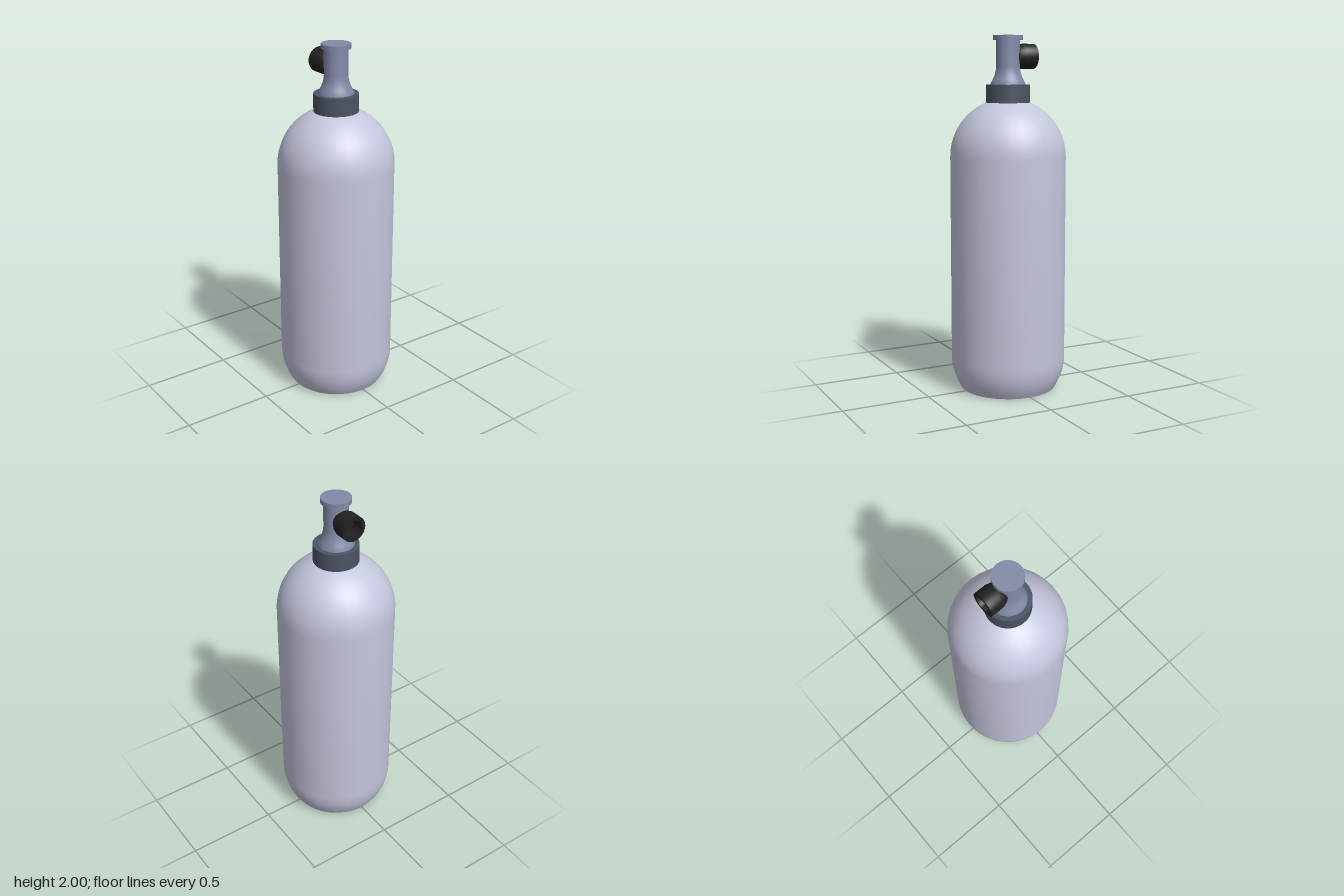
import * as THREE from 'three';
import { toCreasedNormals } from 'three/addons/utils/BufferGeometryUtils.js';

const mat = (name, color) => {
  const m = new THREE.MeshStandardMaterial({ color });
  m.name = name;
  return m;
};

// Turned part from [radius, height] pairs, bottom to top, with sharp rims
function turned(name, profile, material) {
  const points = profile.map(([r, y]) => new THREE.Vector2(r, y));
  const mesh = new THREE.Mesh(toCreasedNormals(new THREE.LatheGeometry(points, 32), 0.6), material);
  mesh.name = name;
  return mesh;
}

export function createModel() {
  const paleSteel = mat('paleSteel', 0xc4c6dc);
  const valveMetal = mat('valveMetal', 0x828aa8);
  const slate = mat('slate', 0x4c5564);
  const black = mat('black', 0x222222);
  const group = new THREE.Group();
  group.name = 'gasCylinder';

  // Tank: flat base, rounded foot, straight wall, domed shoulder
  const R = 0.325, footY = 0.18, shoulderY = 1.33;
  const body = [[0, 0]];
  for (let i = 0; i <= 6; i++) {
    const a = Math.asin(footY / R) * (1 - i / 6);
    body.push([R * Math.cos(a), footY - R * Math.sin(a)]);
  }
  for (let i = 0; i <= 14; i++) {
    const a = (i / 14) * Math.PI / 2;
    body.push([i === 14 ? 0 : R * Math.cos(a), shoulderY + R * Math.sin(a)]);
  }
  group.add(turned('tank', body, paleSteel));

  // Neck collar
  group.add(turned('collar', [[0, 1.625], [0.124, 1.625], [0.124, 1.73], [0, 1.73]], slate));

  // Valve stem flaring out at its foot, with a flat cap
  group.add(turned('valveStem', [
    [0.099, 1.72], [0.099, 1.733], [0.086, 1.757], [0.075, 1.782], [0.068, 1.808], [0.066, 1.83], [0.066, 1.98],
  ], valveMetal));
  group.add(turned('valveCap', [[0, 1.975], [0.082, 1.975], [0.082, 2], [0, 2]], valveMetal));

  // Side outlet: rounded inner end and a hollow mouth
  const outlet = turned('outlet', [
    [0, 0.005], [0.03, 0.02], [0.05, 0.042], [0.061, 0.06], [0.07, 0.085],
    [0.07, 0.158], [0.05, 0.158], [0.05, 0.09], [0, 0.09],
  ], black);
  outlet.rotation.z = Math.PI / 2;
  outlet.position.y = 1.885;
  group.add(outlet);

  return group;
}
